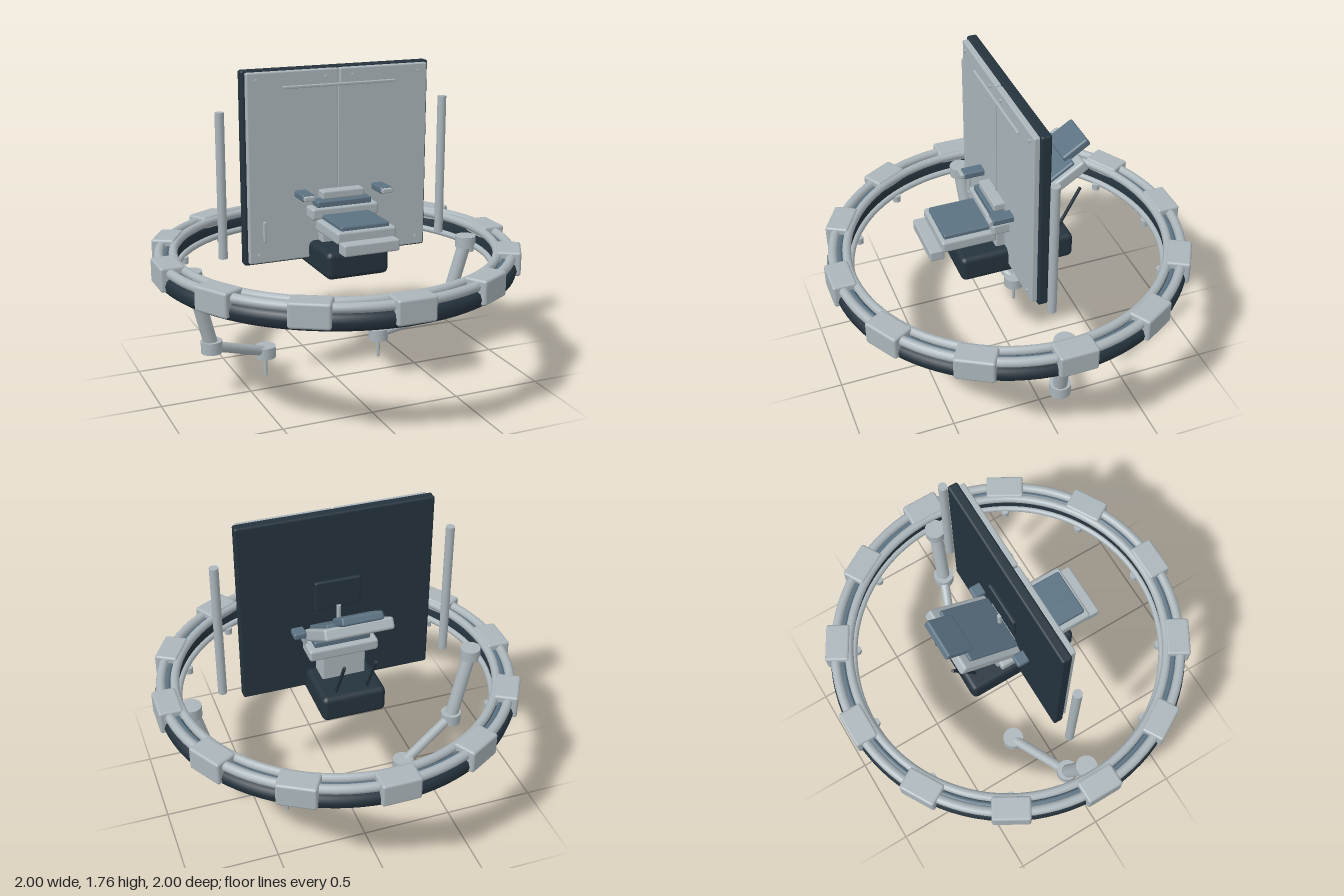
import * as THREE from 'three';
import { RoundedBoxGeometry } from 'three/addons/geometries/RoundedBoxGeometry.js';

const mat = (name, color) => {
  const m = new THREE.MeshStandardMaterial({ color });
  m.name = name;
  return m;
};

export function createModel() {
  const light = mat('light grey', 0xaab5ba);
  const blue = mat('slate blue', 0x5b7282);
  const dark = mat('dark navy', 0x25333d);
  const root = new THREE.Group();
  root.name = 'ringStation';

  const add = (name, geo, material, parent = root) => {
    const m = new THREE.Mesh(geo, material);
    m.name = name;
    parent.add(m);
    return m;
  };
  // Rounded box given by its limits on each axis
  const box = (name, [x0, x1], [y0, y1], [z0, z1], material, r = 0.01, parent = root) => {
    const m = add(name, new RoundedBoxGeometry(x1 - x0, y1 - y0, z1 - z0, 2, r), material, parent);
    m.position.set((x0 + x1) / 2, (y0 + y1) / 2, (z0 + z1) / 2);
    return m;
  };
  // Cylinder between two points
  const rod = (name, a, b, r, material, parent = root) => {
    const p = new THREE.Vector3(...a), q = new THREE.Vector3(...b);
    const d = q.clone().sub(p);
    const m = add(name, new THREE.CylinderGeometry(r, r, d.length(), 24), material, parent);
    m.position.copy(p).add(q).multiplyScalar(0.5);
    m.quaternion.setFromUnitVectors(new THREE.Vector3(0, 1, 0), d.normalize());
    return m;
  };

  // Ring: dark hull, closed profile running anticlockwise
  const ring = new THREE.Group();
  ring.name = 'ring';
  root.add(ring);
  const hull = [[0.865, 0.665], [0.885, 0.65], [0.955, 0.65], [0.975, 0.665], [0.985, 0.7],
    [0.975, 0.73], [0.95, 0.745], [0.885, 0.745], [0.865, 0.73], [0.865, 0.665]];
  add('ringHull', new THREE.LatheGeometry(hull.map(p => new THREE.Vector2(...p)), 96), dark, ring);
  // Rails: radius, height, thickness
  const rails = [['outerRail', 0.95, 0.765, 0.026, light], ['middleRail', 0.912, 0.755, 0.014, blue],
    ['innerRail', 0.874, 0.77, 0.024, light], ['innerLowerRail', 0.858, 0.675, 0.018, light]];
  for (const [name, R, y, r, m] of rails) {
    const t = add(name, new THREE.TorusGeometry(R, r, 12, 96), m, ring);
    t.rotation.x = Math.PI / 2;
    t.position.y = y;
  }
  // Clamps and small studs around the ring
  for (let i = 0; i < 12; i++) {
    const seg = new THREE.Group();
    seg.name = 'ringClamp';
    seg.rotation.y = i * Math.PI / 6;
    ring.add(seg);
    box('clampBlock', [-0.105, 0.105], [0.67, 0.802], [0.87, 1], light, 0.014, seg);
    rod('stud', [0, 0.638, 0.842], [0, 0.675, 0.842], 0.022, light, seg);
  }

  // Wall board with two front panels
  const board = new THREE.Group();
  board.name = 'wallBoard';
  root.add(board);
  box('boardBack', [-0.527, 0.527], [0.73, 1.76], [-0.026, 0.03], dark, 0.012, board);
  box('rearPlate', [-0.125, 0.125], [1.21, 1.38], [-0.045, -0.02], dark, 0.01, board);
  box('topBar', [-0.315, 0.32], [1.66, 1.674], [0.055, 0.072], light, 0.004, board);
  box('seamStrip', [-0.008, 0.008], [0.76, 1.66], [0.05, 0.066], light, 0.003, board);
  box('doorHandle', [-0.433, -0.417], [0.86, 0.97], [0.05, 0.075], light, 0.004, board);
  for (const s of [-1, 1]) {
    box('frontPanel', s < 0 ? [-0.508, -0.004] : [0.004, 0.508], [0.745, 1.75], [0.025, 0.06], light, 0.008, board);
    for (const x of [0.075, 0.455]) for (const y of [0.79, 1.71])
      rod('bolt', [s * x, y, 0.055], [s * x, y, 0.07], 0.009, light, board);
  }

  // Side posts and folding arms
  for (const s of [-1, 1]) {
    rod('sidePost', [s * 0.635, 0.78, 0], [s * 0.635, 1.553, 0], 0.024, light);
    const arm = new THREE.Group();
    arm.name = s > 0 ? 'leftArm' : 'rightArm';
    root.add(arm);
    const joint = (name, x, y0, y1, z) => rod(name, [s * x, y0, z], [s * x, y1, z], 0.058, light, arm);
    joint('shoulderJoint', 0.812, 0.67, 0.735, 0);
    joint('elbowJoint', 0.705, 0.253, 0.32, -0.03);
    joint('wristJoint', 0.35, 0.112, 0.178, -0.175);
    rod('upperArm', [s * 0.812, 0.7, 0], [s * 0.705, 0.287, -0.03], 0.038, light, arm);
    rod('forearm', [s * 0.705, 0.287, -0.03], [s * 0.35, 0.145, -0.175], 0.028, light, arm);
    rod('armTip', [s * 0.35, 0, -0.175], [s * 0.35, 0.13, -0.175], 0.01, light, arm);
  }

  // Reclining chair
  const chair = new THREE.Group();
  chair.name = 'chair';
  root.add(chair);
  const part = (name, halfW, y, z, m, r) => box(name, [-halfW, halfW], y, z, m, r, chair);
  part('chairBase', 0.175, [0.69, 0.838], [-0.32, 0.32], dark, 0.03);
  part('pedestal', 0.12, [0.82, 0.985], [-0.14, 0.11], light);
  part('seatFrame', 0.19, [0.97, 1.035], [-0.15, 0.15], light, 0.014);
  part('seatPad', 0.155, [1.03, 1.068], [-0.12, 0.135], blue);
  part('lumbarPad', 0.12, [1.07, 1.116], [-0.05, 0.12], light);
  part('legRest', 0.165, [0.912, 0.977], [0.12, 0.42], light, 0.014);
  part('legPad', 0.135, [0.97, 1.0], [0.14, 0.4], blue);
  part('footRest', 0.155, [0.865, 0.927], [0.405, 0.485], light);
  rod('rearStem', [0, 1.03, -0.05], [0, 1.23, -0.05], 0.012, light, chair);
  for (const s of [-1, 1]) {
    const x = (a, b) => s > 0 ? [a, b] : [-b, -a];
    box('armrest', x(0.187, 0.255), [1.085, 1.122], [-0.09, 0.175], blue, 0.01, chair);
    box('armrestTip', x(0.192, 0.25), [1.09, 1.115], [0.165, 0.193], light, 0.006, chair);
    rod('armrestStrut', [s * 0.18, 1.02, -0.05], [s * 0.21, 1.095, -0.05], 0.012, light, chair);
    rod('baseRod', [s * 0.085, 0.82, -0.25], [s * 0.085, 1.075, -0.385], 0.009, dark, chair);
    for (const z of [-0.2, 0.2])
      rod('baseFoot', [s * 0.11, 0.68, z], [s * 0.11, 0.7, z], 0.02, light, chair);
  }

  // Backrest tilted back; local z runs along its length
  const back = new THREE.Group();
  back.name = 'backrest';
  back.position.set(0, 1.075, -0.045);
  back.rotation.x = 0.575;
  chair.add(back);
  box('backFrame', [-0.185, 0.185], [-0.032, 0.032], [-0.39, 0], light, 0.014, back);
  box('backPad', [-0.155, 0.155], [0.025, 0.05], [-0.345, -0.01], blue, 0.01, back);
  box('headrest', [-0.11, 0.11], [0.03, 0.075], [-0.475, -0.31], blue, 0.012, back);

  return root;
}
